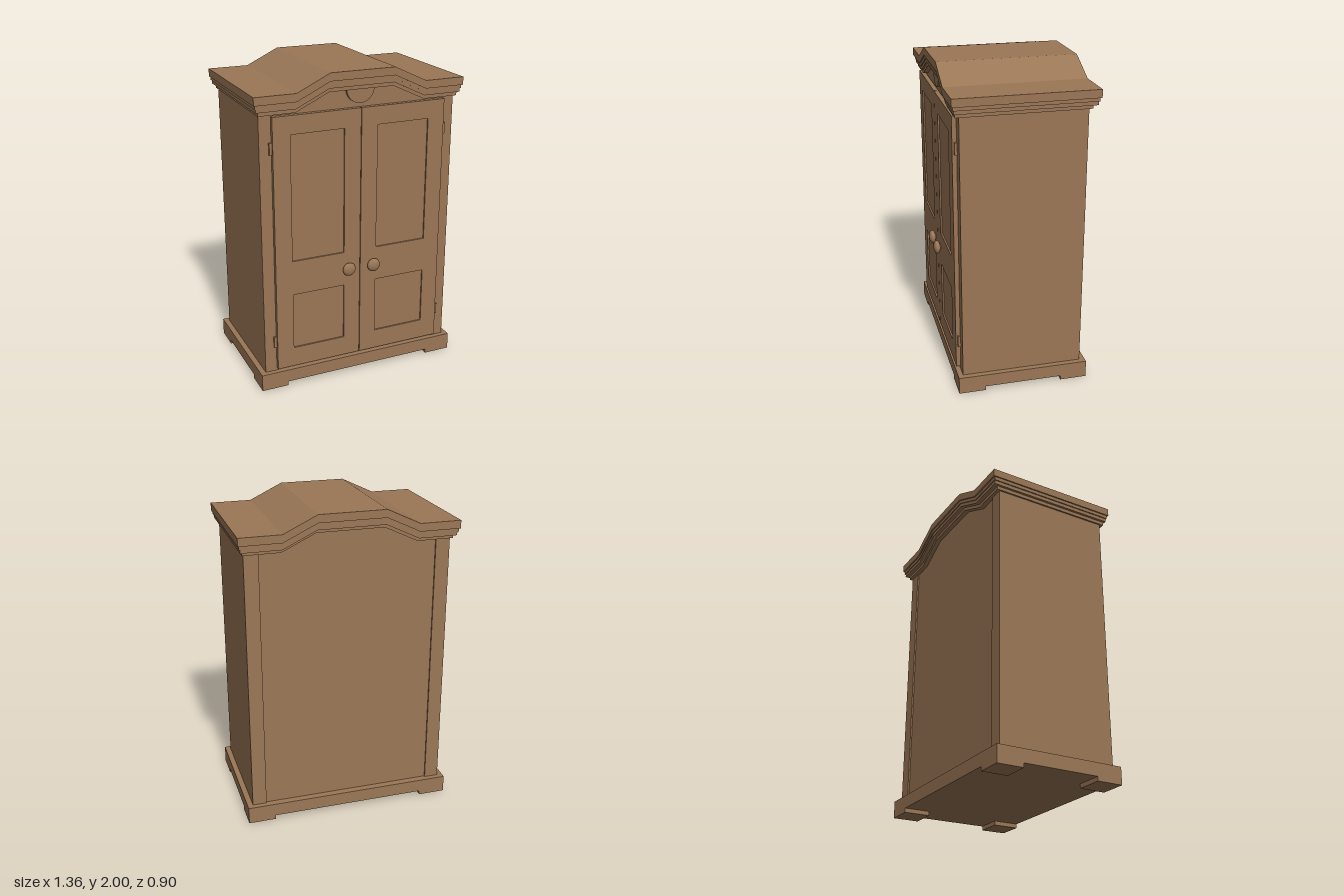
import * as THREE from 'three';

export function createModel() {
  const model = new THREE.Group();
  model.name = 'wardrobe';
  const wood = new THREE.MeshStandardMaterial({ color: 0x9b7757 });
  wood.name = 'brown wood';

  const add = (name, geometry, x = 0, y = 0, z = 0, parent = model) => {
    const mesh = new THREE.Mesh(geometry, wood);
    mesh.name = name;
    mesh.position.set(x, y, z);
    parent.add(mesh);
    return mesh;
  };
  // Box given by its minimum and maximum corners
  const box = (name, [x0, y0, z0], [x1, y1, z1], parent = model) =>
    add(name, new THREE.BoxGeometry(x1 - x0, y1 - y0, z1 - z0),
      (x0 + x1) / 2, (y0 + y1) / 2, (z0 + z1) / 2, parent);
  const shapeOf = (points) => new THREE.Shape(points.map(([x, y]) => new THREE.Vector2(x, y)));
  const slab = (name, shape, z0, z1, parent = model) =>
    add(name, new THREE.ExtrudeGeometry(shape, { depth: z1 - z0, bevelEnabled: false, curveSegments: 24 }), 0, 0, z0, parent);
  // Arched line from right to left: flat shoulders and a raised middle
  const arch = (w, y, rise = 0.1) =>
    [[w, y], [0.42, y], [0.21, y + rise], [-0.21, y + rise], [-0.42, y], [-w, y]];
  const rectangle = (x0, y0, x1, y1) => [[x0, y0], [x1, y0], [x1, y1], [x0, y1]];

  // Base and feet
  box('base', [-0.675, 0.027, -0.42], [0.675, 0.11, 0.41]);
  for (const s of [-1, 1]) {
    for (const [z0, z1] of [[0.24, 0.41], [-0.42, -0.25]]) {
      box('foot', [s > 0 ? 0.5 : -0.675, 0, z0], [s > 0 ? 0.675 : -0.5, 0.027, z1]);
    }
  }

  // Cabinet between two side walls, slightly recessed at front and back
  slab('cabinet', shapeOf([[-0.55, 0.11], [0.55, 0.11], ...arch(0.55, 1.8)]), -0.375, 0.37);
  for (const s of [-1, 1]) {
    box('sideWall', [s > 0 ? 0.55 : -0.64, 0.11, -0.385], [s > 0 ? 0.64 : -0.55, 1.8, 0.378]);
  }

  // Stepped cornice following the arch
  const cornice = [
    [0.68, 1.85, 1.9, -0.447, 0.427],
    [0.672, 1.828, 1.85, -0.438, 0.418],
    [0.665, 1.805, 1.828, -0.432, 0.412],
    [0.65, 1.782, 1.805, -0.405, 0.402],
  ];
  for (const [w, y0, y1, z0, z1] of cornice) {
    slab('corniceStep', shapeOf([...arch(w, y1), ...arch(w, y0).reverse()]), z0, z1);
  }

  // Half-round ornament under the arch
  const halfDisc = new THREE.Shape();
  halfDisc.absarc(0, 1.885, 0.09, Math.PI, Math.PI * 2, false);
  halfDisc.closePath();
  slab('ornament', halfDisc, 0.365, 0.39);

  // Doors with recessed panels, knobs and hinges
  for (const s of [-1, 1]) {
    const door = new THREE.Group();
    door.name = s > 0 ? 'leftDoor' : 'rightDoor';
    model.add(door);
    const span = (a, b) => (s > 0 ? [a, b] : [-b, -a]);
    const [x0, x1] = span(0.002, 0.565);
    const [p0, p1] = span(0.11, 0.455);
    const frame = shapeOf(rectangle(x0, 0.13, x1, 1.77));
    for (const [y0, y1] of [[0.26, 0.63], [0.855, 1.655]]) {
      frame.holes.push(new THREE.Path(shapeOf(rectangle(p0, y0, p1, y1)).getPoints().reverse()));
      box('doorPanel', [p0, y0, 0.376], [p1, y1, 0.395], door);
    }
    slab('doorFrame', frame, 0.376, 0.405, door);

    const knob = add('knob', new THREE.SphereGeometry(0.043, 24, 16), s * 0.085, 0.745, 0.428, door);
    knob.scale.z = 0.52;
    const stem = add('knobStem', new THREE.CylinderGeometry(0.018, 0.018, 0.03, 16), s * 0.085, 0.745, 0.412, door);
    stem.rotation.x = Math.PI / 2;

    const [h0, h1] = span(0.56, 0.582);
    for (const y of [0.28, 1.542]) box('hinge', [h0, y, 0.37], [h1, y + 0.073, 0.394], door);
  }
  return model;
}
